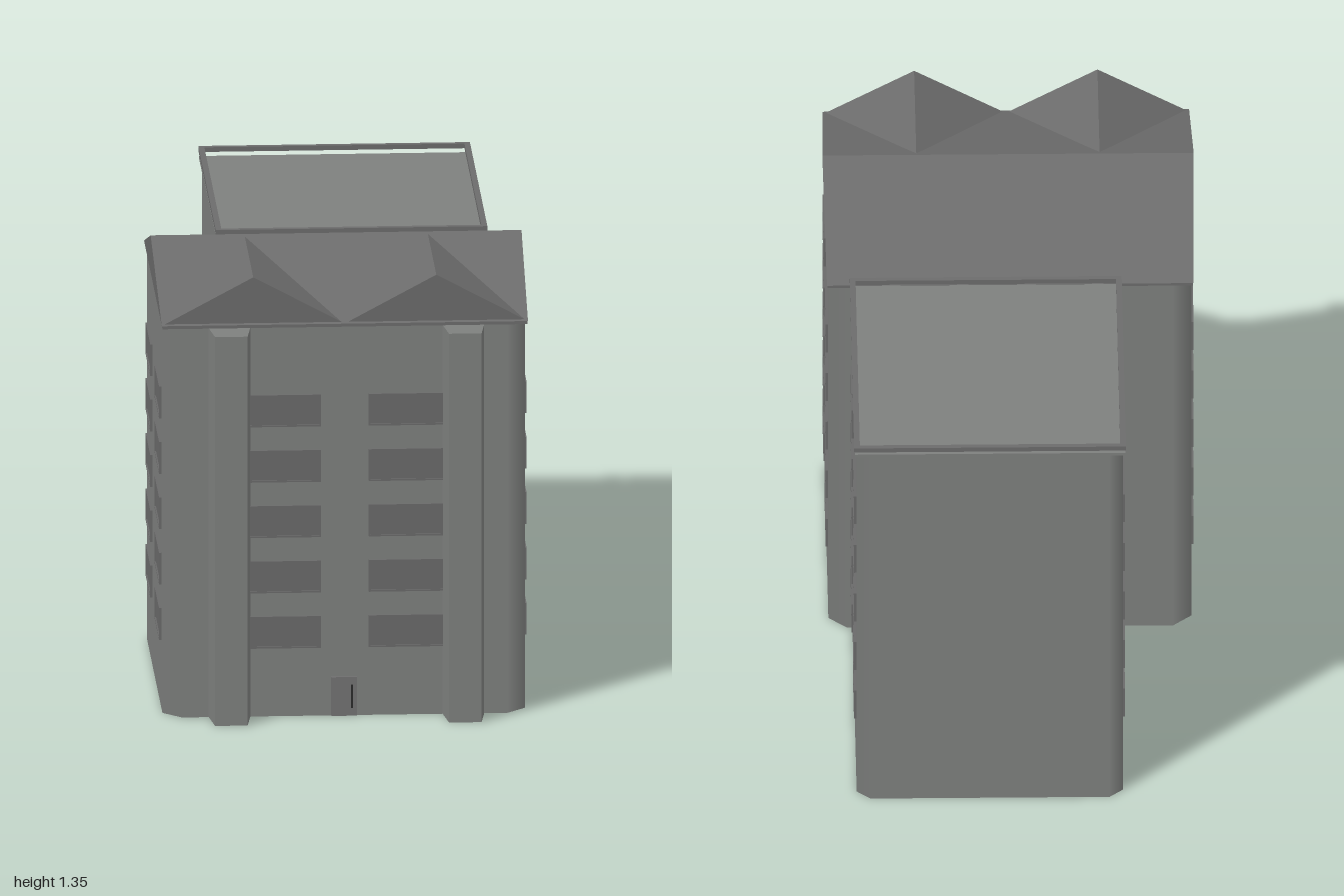
import * as THREE from 'three';

const paint = (color, side = THREE.FrontSide) => new THREE.MeshStandardMaterial({ color, side });
const wall = paint(0x7e807e);
const roofing = paint(0x6c6c6c, THREE.DoubleSide);
const glass = paint(0x6a6a6a);
const doorPaint = paint(0x727272);
const handlePaint = paint(0x2a2a2a);

function add(parent, name, geometry, material) {
  const mesh = new THREE.Mesh(geometry, material);
  mesh.name = name;
  parent.add(mesh);
  return mesh;
}

function box(parent, name, material, x0, x1, y0, y1, z0, z1) {
  const m = add(parent, name, new THREE.BoxGeometry(x1 - x0, y1 - y0, z1 - z0), material);
  m.position.set((x0 + x1) / 2, (y0 + y1) / 2, (z0 + z1) / 2);
}

// Shape drawn on the ground plan (plan y is -z), raised from y0 to y1
function raise(shape, y0, y1) {
  const g = new THREE.ExtrudeGeometry(shape, { depth: y1 - y0, bevelEnabled: false });
  return g.rotateX(-Math.PI / 2).translate(0, y0, 0);
}

function rectangle(target, x0, x1, y0, y1) {
  target.moveTo(x0, y0).lineTo(x1, y0).lineTo(x1, y1).lineTo(x0, y1).closePath();
  return target;
}

// Block with cut corners; each cut is shaded smoothly from one wall to the next
function block(x0, x1, z0, z1, height, c) {
  const s = new THREE.Shape();
  const b = -z1, t = -z0;
  s.moveTo(x0 + c, b).lineTo(x1 - c, b).lineTo(x1, b + c).lineTo(x1, t - c);
  s.lineTo(x1 - c, t).lineTo(x0 + c, t).lineTo(x0, t - c).lineTo(x0, b + c).closePath();
  const g = raise(s, 0, height);
  const p = g.attributes.position, n = g.attributes.normal;
  for (let i = 0; i < p.count; i++) {
    const nx = n.getX(i), nz = n.getZ(i), x = p.getX(i);
    if (Math.abs(nx) < 0.5 || Math.abs(nz) < 0.5) continue;
    if (Math.min(x - x0, x1 - x) < 0.001) n.setXYZ(i, Math.sign(nx), 0, 0);
    else n.setXYZ(i, 0, 0, Math.sign(nz));
  }
  return g;
}

// Triangles given by indices into a short list of corners
function facets(points, faces) {
  const g = new THREE.BufferGeometry();
  g.setAttribute('position', new THREE.Float32BufferAttribute(faces.flat().flatMap(i => points[i]), 3));
  g.computeVertexNormals();
  return g;
}

// Window: a slim raised frame around a slightly sunken pane, facing +z
function makeWindow(w, h) {
  const group = new THREE.Group();
  group.name = 'window';
  const shape = rectangle(new THREE.Shape(), -w / 2, w / 2, -h / 2, h / 2);
  const t = 0.005;
  shape.holes.push(rectangle(new THREE.Path(), -w / 2 + t, w / 2 - t, -h / 2 + t, h / 2 - t));
  add(group, 'windowFrame', new THREE.ExtrudeGeometry(shape, { depth: 0.012, bevelEnabled: false }), glass)
    .position.z = -0.005;
  add(group, 'windowPane', new THREE.BoxGeometry(w - t, h - t, 0.007), glass).position.z = -0.0005;
  return group;
}

// Five floors of windows at one place on a wall
function windowColumn(parent, x, z, turn) {
  for (let floor = 0; floor < 5; floor++) {
    const win = makeWindow(0.245, 0.097);
    win.position.set(x, 0.257 + floor * 0.169, z);
    win.rotation.y = turn;
    parent.add(win);
  }
}

export function createModel() {
  const model = new THREE.Group();
  model.name = 'apartmentBuilding';

  // Two building blocks
  add(model, 'frontBlock', block(-0.535, 0.535, -0.045, 0.9, 1.19, 0.055), wall);
  add(model, 'backBlock', block(-0.32, 0.465, -0.99, 0.03, 1.19, 0.04), wall);

  // Windows on the front and on both sides
  const windows = new THREE.Group();
  windows.name = 'windows';
  model.add(windows);
  for (const s of [-1, 1]) {
    windowColumn(windows, s * 0.193, 0.9, 0);
    for (const z of [0.67, 0.195]) windowColumn(windows, s * 0.535, z, s * Math.PI / 2);
    for (const z of [-0.28, -0.755]) windowColumn(windows, s > 0 ? 0.465 : -0.32, z, s * Math.PI / 2);
  }

  // Tapered pillars on the front
  for (const x of [-0.34, 0.35]) {
    const plan = new THREE.Shape();
    plan.moveTo(-0.064, -0.88).lineTo(-0.048, -1).lineTo(0.048, -1).lineTo(0.064, -0.88).closePath();
    add(model, x < 0 ? 'rightPillar' : 'leftPillar', raise(plan, 0, 1.187), wall).position.x = x;
  }

  // Door with a long handle
  box(model, 'door', doorPaint, -0.04, 0.035, 0, 0.118, 0.89, 0.907);
  box(model, 'doorHandle', handlePaint, 0.018, 0.023, 0.025, 0.095, 0.9, 0.913);

  // Main pitched roof with a thin eave slab
  const eave = 1.197, ridge = 1.345;
  box(model, 'eaveSlab', roofing, -0.538, 0.538, 1.187, eave, -0.052, 0.904);
  const corners = [
    [-0.54, eave, 0.907], [0.54, eave, 0.907], [0.54, eave, -0.055], [-0.54, eave, -0.055],
    [-0.547, ridge, 0.43], [0.547, ridge, 0.43],
  ];
  add(model, 'mainRoof', facets(corners, [
    [0, 1, 5], [0, 5, 4], [2, 3, 4], [2, 4, 5], [1, 2, 5], [3, 0, 4],
  ]), roofing);

  // Twin gables running forward from the ridge
  for (const s of [-1, 1]) {
    const gable = [[-0.266, eave, 0.897], [0.266, eave, 0.897], [0, 1.341, 0.901], [0, 1.341, 0.445]];
    add(model, s < 0 ? 'rightGable' : 'leftGable', facets(gable, [
      [0, 1, 2], [0, 2, 3], [1, 3, 2],
    ]), roofing).position.x = s * 0.27;
  }

  // Flat back roof with a rim raised clear of it
  box(model, 'backRoofSlab', wall, -0.326, 0.471, 1.187, 1.197, -0.99, -0.057);
  const rim = rectangle(new THREE.Shape(), -0.328, 0.473, 0.057, 1);
  rim.holes.push(rectangle(new THREE.Path(), -0.311, 0.456, 0.074, 0.983));
  add(model, 'backRoofRim', raise(rim, 1.211, 1.225), roofing);

  return model;
}
